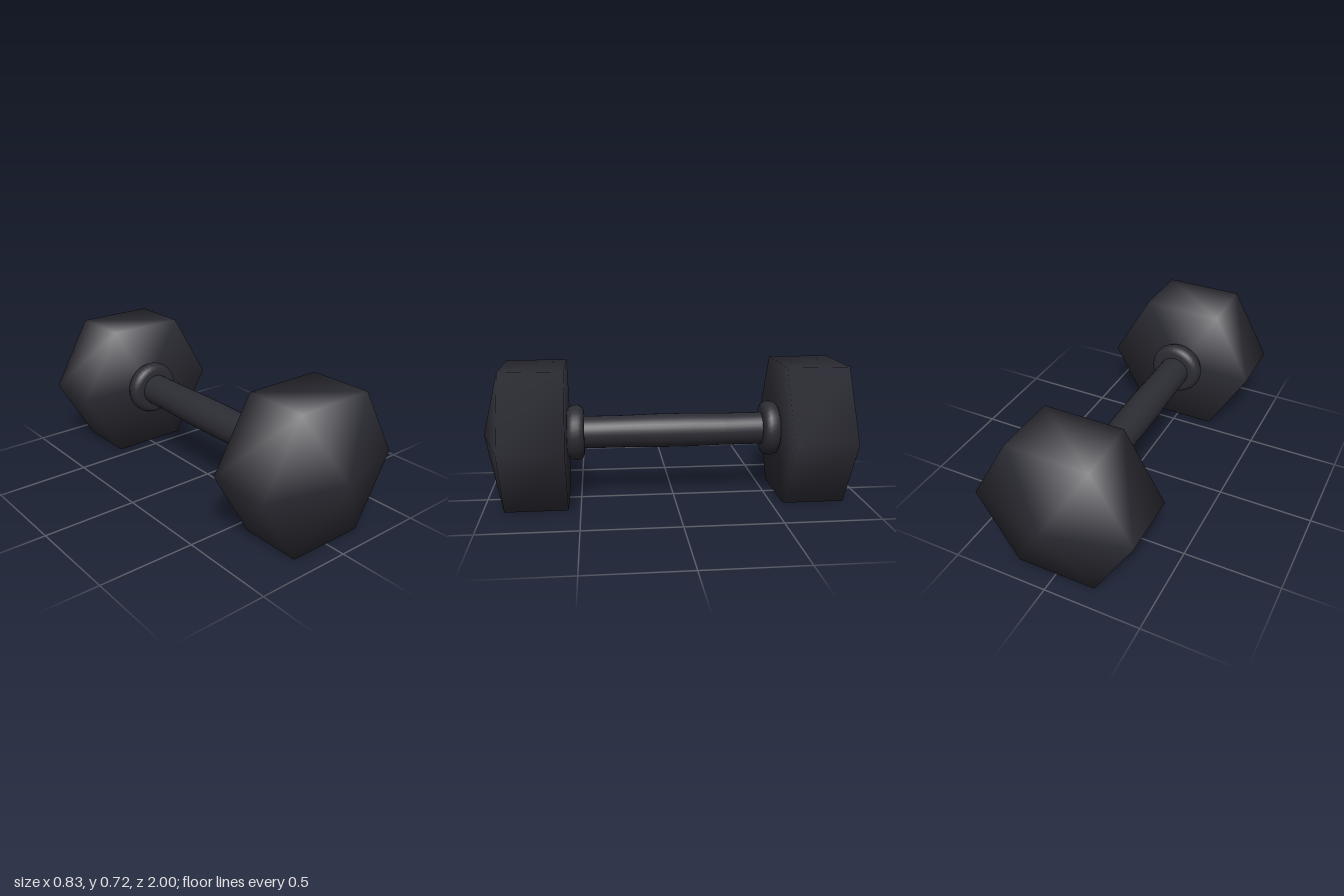
import * as THREE from 'three';
import { mergeVertices } from 'three/addons/utils/BufferGeometryUtils.js';

// Revolve a [radius, z] profile around the z axis, with smooth welded normals
function revolve(profile, segments) {
  const points = profile.map(([r, z]) => new THREE.Vector2(r, z));
  let geometry = new THREE.LatheGeometry(points, segments, Math.PI / 2);
  geometry.deleteAttribute('uv');
  geometry.deleteAttribute('normal');
  geometry = mergeVertices(geometry, 1e-4);
  geometry.computeVertexNormals();
  return geometry.rotateX(Math.PI / 2);
}

export function createModel() {
  const rubber = new THREE.MeshStandardMaterial({ color: 0x2c2c34 });
  rubber.name = 'dark rubber';

  const model = new THREE.Group();
  model.name = 'dumbbell';
  const add = (geometry, name, turned = false) => {
    const mesh = new THREE.Mesh(geometry, rubber);
    mesh.name = name;
    mesh.position.y = 0.361;
    if (turned) mesh.rotation.y = Math.PI;
    model.add(mesh);
  };

  // Slightly swollen grip bar
  add(revolve([
    [0.086, -0.58], [0.086, -0.27], [0.09, -0.09],
    [0.09, 0.09], [0.086, 0.27], [0.086, 0.58],
  ], 32), 'handle');

  // Hexagonal weight with a shallow pointed end, and a rounded collar
  const head = revolve([[0, 0.564], [0.417, 0.564], [0.417, 0.89], [0, 1]], 6);
  const collar = revolve([
    [0.08, 0.475], [0.115, 0.475], [0.137, 0.485], [0.147, 0.508],
    [0.147, 0.532], [0.137, 0.555], [0.115, 0.567], [0.08, 0.567],
  ], 32);
  for (const [side, turned] of [['front', false], ['back', true]]) {
    add(head, side + 'Weight', turned);
    add(collar, side + 'Collar', turned);
  }
  return model;
}
